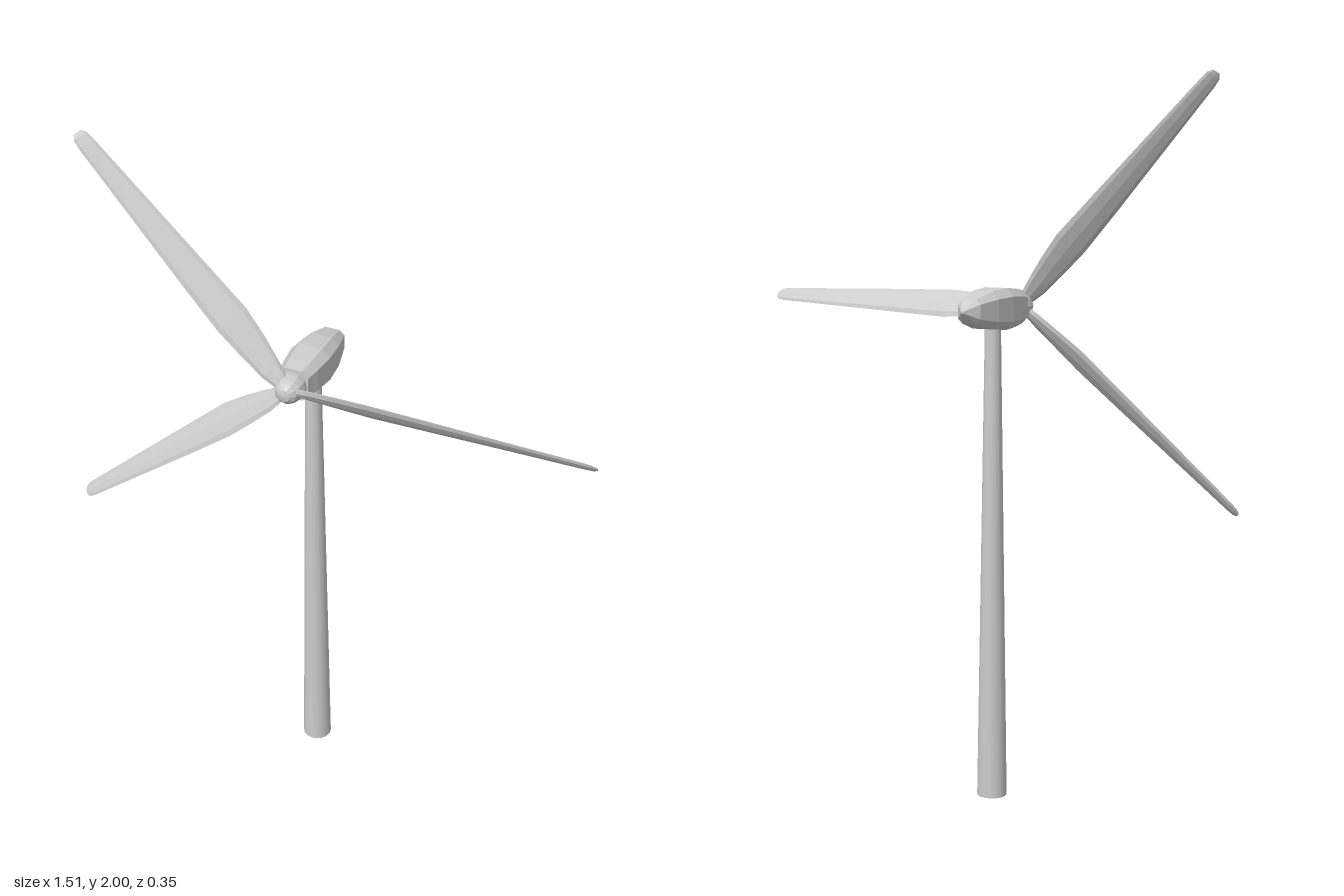
import * as THREE from 'three';

const HUB = new THREE.Vector3(-0.093, 1.37, 0.14);
const PITCH = 0.68;

// Skin a list of equal-length rings (counter-clockwise seen from the far end) and close both ends.
function loft(rings) {
  const n = rings[0].length, last = (rings.length - 1) * n, index = [];
  for (let i = 0; i < rings.length - 1; i++) {
    for (let j = 0; j < n; j++) {
      const a = i * n + j, b = i * n + (j + 1) % n;
      index.push(a, b, b + n, a, b + n, a + n);
    }
  }
  for (let j = 1; j < n - 1; j++) {
    index.push(0, j + 1, j);
    index.push(last, last + j, last + j + 1);
  }
  const g = new THREE.BufferGeometry();
  g.setAttribute('position', new THREE.Float32BufferAttribute(rings.flat(2), 3));
  g.setIndex(index);
  g.computeVertexNormals();
  return g;
}

// Blade along +x: [radius, front edge, rear edge, half thickness], pitched about its length.
function bladeGeometry() {
  const stations = [
    [0.025, 0.02, -0.02, 0.009], [0.07, 0.031, -0.03, 0.009], [0.15, 0.039, -0.042, 0.009],
    [0.235, 0.045, -0.05, 0.009], [0.4, 0.042, -0.04, 0.008], [0.6, 0.036, -0.028, 0.006],
    [0.81, 0.03, -0.015, 0.005], [0.833, 0.027, -0.012, 0.004], [0.845, 0.017, -0.003, 0.002],
  ];
  const c = Math.cos(PITCH), s = Math.sin(PITCH);
  return loft(stations.map(([r, front, rear, t]) => {
    const mid = (front + rear) / 2, half = (front - rear) / 2;
    return Array.from({ length: 8 }, (_, k) => {
      const a = k * Math.PI / 4;
      const u = mid + half * Math.cos(a), v = t * Math.sin(a);
      return [r, u * c - v * s, u * s + v * c];
    });
  }));
}

// Chamfered-square housing along z: [z, half width, half height].
function nacelleGeometry() {
  const sections = [
    [-0.178, 0.003, 0.003], [-0.14, 0.035, 0.033], [-0.07, 0.051, 0.051],
    [0.0, 0.057, 0.057], [0.06, 0.051, 0.052], [0.106, 0.042, 0.045],
  ];
  const k = 0.6;
  const outline = [[1, -k], [1, k], [k, 1], [-k, 1], [-1, k], [-1, -k], [-k, -1], [k, -1]];
  return loft(sections.map(([z, w, h]) => outline.map(([x, y]) => [x * w, y * h, z])));
}

export function createModel() {
  const group = new THREE.Group();
  const smooth = new THREE.MeshStandardMaterial({ color: 0xcccccc });
  const flat = new THREE.MeshStandardMaterial({ color: 0xcccccc, flatShading: true });
  const add = (name, geometry, material, parent = group) => {
    const mesh = new THREE.Mesh(geometry, material);
    mesh.name = name;
    parent.add(mesh);
    return mesh;
  };

  // Tapered tower
  add('tower', new THREE.CylinderGeometry(0.022, 0.042, 1.34, 16), smooth)
    .position.set(HUB.x, 0.67, -0.015);

  // Generator housing
  add('nacelle', nacelleGeometry(), flat).position.set(HUB.x, HUB.y, 0);

  // Rotor: domed hub and three unevenly spaced blades
  const rotor = new THREE.Group();
  rotor.name = 'rotor';
  rotor.position.copy(HUB);
  group.add(rotor);

  const dome = [[0, -0.045], [0.038, -0.045], [0.041, -0.02], [0.038, 0], [0.031, 0.016], [0.018, 0.027], [0, 0.031]]
    .map(([r, y]) => new THREE.Vector2(r, y));
  add('hub', new THREE.LatheGeometry(dome, 12), flat, rotor).rotation.x = Math.PI / 2;

  const blade = bladeGeometry();
  [0, 132.2, 218.5].forEach((deg) => {
    add('blade', blade, flat, rotor).rotation.z = THREE.MathUtils.degToRad(deg);
  });
  return group;
}
